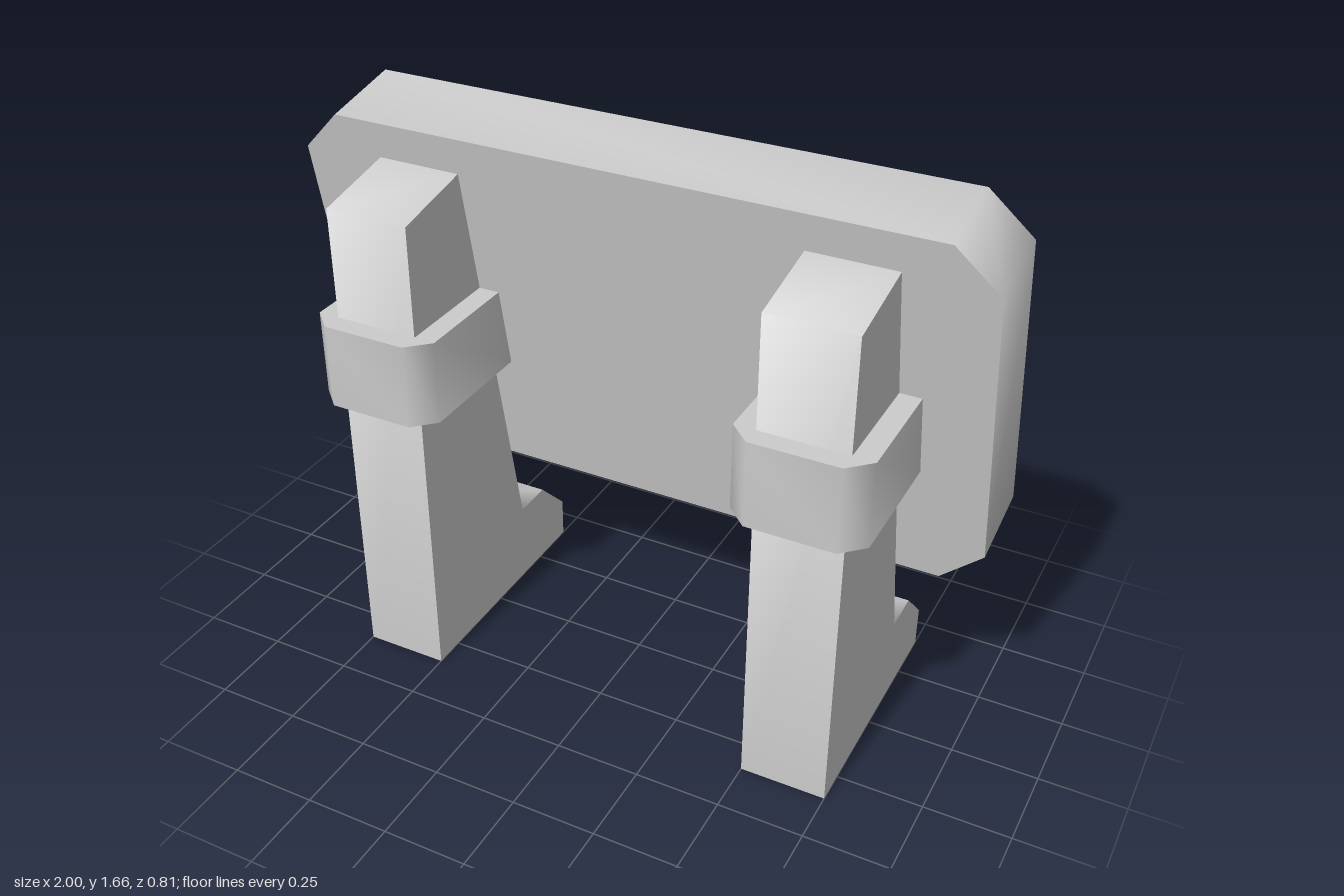
import * as THREE from 'three';
import { toCreasedNormals } from 'three/addons/utils/BufferGeometryUtils.js';

const CREASE = 1.4; // bends shallower than about 80 degrees are shaded smooth
const material = new THREE.MeshStandardMaterial({ color: 0xcccccc });

function makeMesh(name, geometry) {
  const mesh = new THREE.Mesh(toCreasedNormals(geometry, CREASE), material);
  mesh.name = name;
  return mesh;
}

function extrude(points, depth) {
  const shape = new THREE.Shape(points.map(([x, y]) => new THREE.Vector2(x, y)));
  return new THREE.ExtrudeGeometry(shape, { depth, bevelEnabled: false });
}

// Rectangle with cut corners, counter-clockwise seen from +z
function cutRectangle([w, h, cut, z]) {
  return [
    [w - cut, -h], [w, -h + cut], [w, h - cut], [w - cut, h],
    [-w + cut, h], [-w, h - cut], [-w, -h + cut], [-w + cut, -h],
  ].map(([x, y]) => [x, y, z]);
}

// Skin a run of cut rectangles; a section of zero size closes an end
function loft(sections) {
  const rings = sections.map(cutRectangle);
  const positions = [];
  for (let i = 0; i < rings.length - 1; i++) {
    for (let j = 0; j < 8; j++) {
      const k = (j + 1) % 8;
      const a = rings[i][j], b = rings[i][k], c = rings[i + 1][k], d = rings[i + 1][j];
      if (sections[i + 1][0] > 0) positions.push(...a, ...d, ...c);
      if (sections[i][0] > 0) positions.push(...a, ...c, ...b);
    }
  }
  const geometry = new THREE.BufferGeometry();
  geometry.setAttribute('position', new THREE.Float32BufferAttribute(positions, 3));
  geometry.computeVertexNormals();
  return geometry;
}

export function createModel() {
  const model = new THREE.Group();
  model.name = 'tiltedPanelOnStands';

  // Tilted panel with a shallow recess in its back
  const panel = makeMesh('panel', loft([
    [0, 0, 0, 0.125],
    [1, 0.5625, 0.125, 0.125],
    [1, 0.5625, 0.125, -0.125],
    [0.875, 0.4375, 0.052, -0.125],
    [0.875, 0.4375, 0.052, 0],
    [0, 0, 0, 0],
  ]));
  panel.position.set(0, 1.08, -0.119);
  panel.rotation.x = THREE.MathUtils.degToRad(11.1);
  model.add(panel);

  // Side profile of a post with its foot, as (-z, y)
  const postProfile = [
    [-0.345, 0], [0.405, 0], [0.405, 0.125], [0.28, 0.25],
    [0.155, 0.25], [-0.09, 1.5], [-0.345, 1.45],
  ];
  // Plan of the clamp band, as (x, -z)
  const clampPlan = [
    [-0.1875, 0.05], [-0.1875, -0.345], [-0.125, -0.405],
    [0.125, -0.405], [0.1875, -0.345], [0.1875, 0.05],
  ];

  for (const [side, x] of [['left', 0.625], ['right', -0.625]]) {
    const stand = new THREE.Group();
    stand.name = side + 'Stand';
    stand.position.x = x;

    const post = extrude(postProfile, 0.25).rotateY(Math.PI / 2).translate(-0.125, 0, 0);
    const clamp = extrude(clampPlan, 0.25).rotateX(-Math.PI / 2).translate(0, 0.875, 0);
    stand.add(makeMesh(side + 'Post', post), makeMesh(side + 'Clamp', clamp));
    model.add(stand);
  }
  return model;
}
